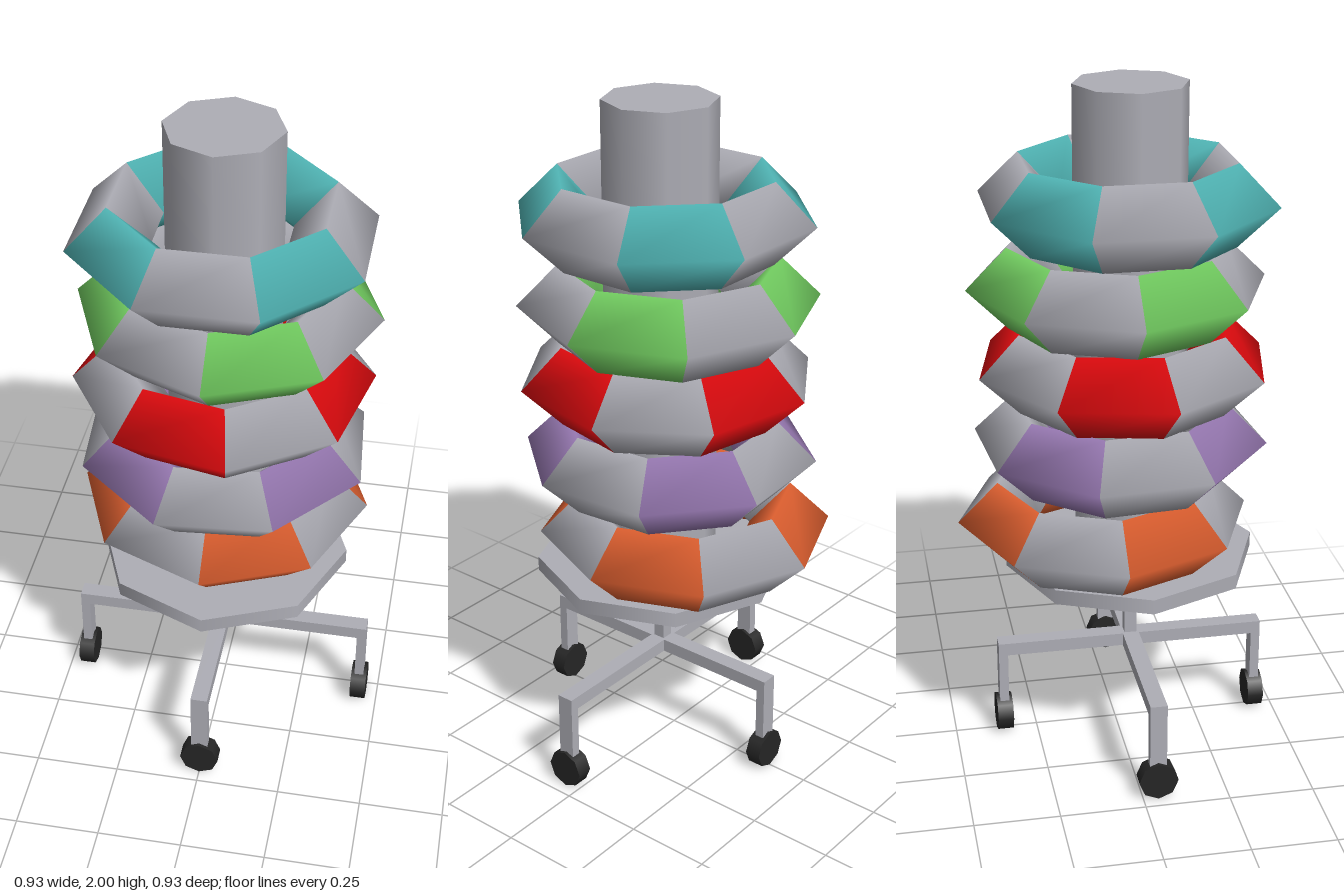
import * as THREE from 'three';

const mat = (name, color) => {
  const m = new THREE.MeshStandardMaterial({ color });
  m.name = name;
  return m;
};

export function createModel() {
  const grey = mat('grey', 0xaeaeb6);
  const black = mat('black', 0x262626);
  const root = new THREE.Group();
  root.name = 'stackedRingStand';
  const cz = 0.045; // stand axis

  const add = (parent, name, geometry, material, x, y, z) => {
    const mesh = new THREE.Mesh(geometry, material);
    mesh.name = name;
    mesh.position.set(x, y, z);
    parent.add(mesh);
    return mesh;
  };

  // Four legs with castors
  const wheelGeo = new THREE.CylinderGeometry(0.058, 0.058, 0.048, 8).rotateX(Math.PI / 2);
  for (let i = 0; i < 4; i++) {
    const reach = i % 2 ? 0.442 : 0.395;
    const leg = new THREE.Group();
    leg.name = 'leg' + (i + 1);
    leg.position.z = cz;
    leg.rotation.y = i * Math.PI / 2;
    const length = reach + 0.014;
    add(leg, 'legBar', new THREE.BoxGeometry(0.05, 0.04, length), grey, 0, 0.285, length / 2);
    add(leg, 'legPost', new THREE.BoxGeometry(0.05, 0.21, 0.028), grey, 0, 0.165, reach);
    add(leg, 'wheel', wheelGeo, black, 0, 0.058, reach);
    root.add(leg);
  }

  // Pole, seat plate and central column
  add(root, 'pole', new THREE.BoxGeometry(0.037, 0.31, 0.037), grey, 0, 0.415, cz);
  add(root, 'plate', new THREE.CylinderGeometry(0.375, 0.375, 0.045, 8), grey, 0.003, 0.5815, cz);
  add(root, 'column', new THREE.CylinderGeometry(0.164, 0.164, 1.4, 8), grey, 0.004, 1.3, 0.044);

  // Striped rings: name, colour, centre, first corner angle in degrees
  const rings = [
    ['orange', 0xe06030, -0.008, 0.719, -0.038, 0],
    ['purple', 0x9a7bb5, 0.003, 0.956, 0.013, -27.5],
    ['red', 0xe00a0e, 0, 1.192, 0.023, 34.5],
    ['green', 0x74d062, 0.011, 1.428, 0.007, 0],
    ['teal', 0x52b8b8, 0, 1.673, 0.033, -22.5],
  ];
  for (const [name, color, x, y, z, start] of rings) {
    const geo = new THREE.TorusGeometry(0.314, 0.119, 4, 8);
    geo.rotateX(Math.PI / 2).rotateY(-THREE.MathUtils.degToRad(start));
    // alternate the eight segments between grey and the ring colour
    for (let q = 0; q < 32; q++) geo.addGroup(q * 6, 6, q % 2);
    add(root, name + 'Ring', geo, [grey, mat(name, color)], x, y, z);
  }
  return root;
}
